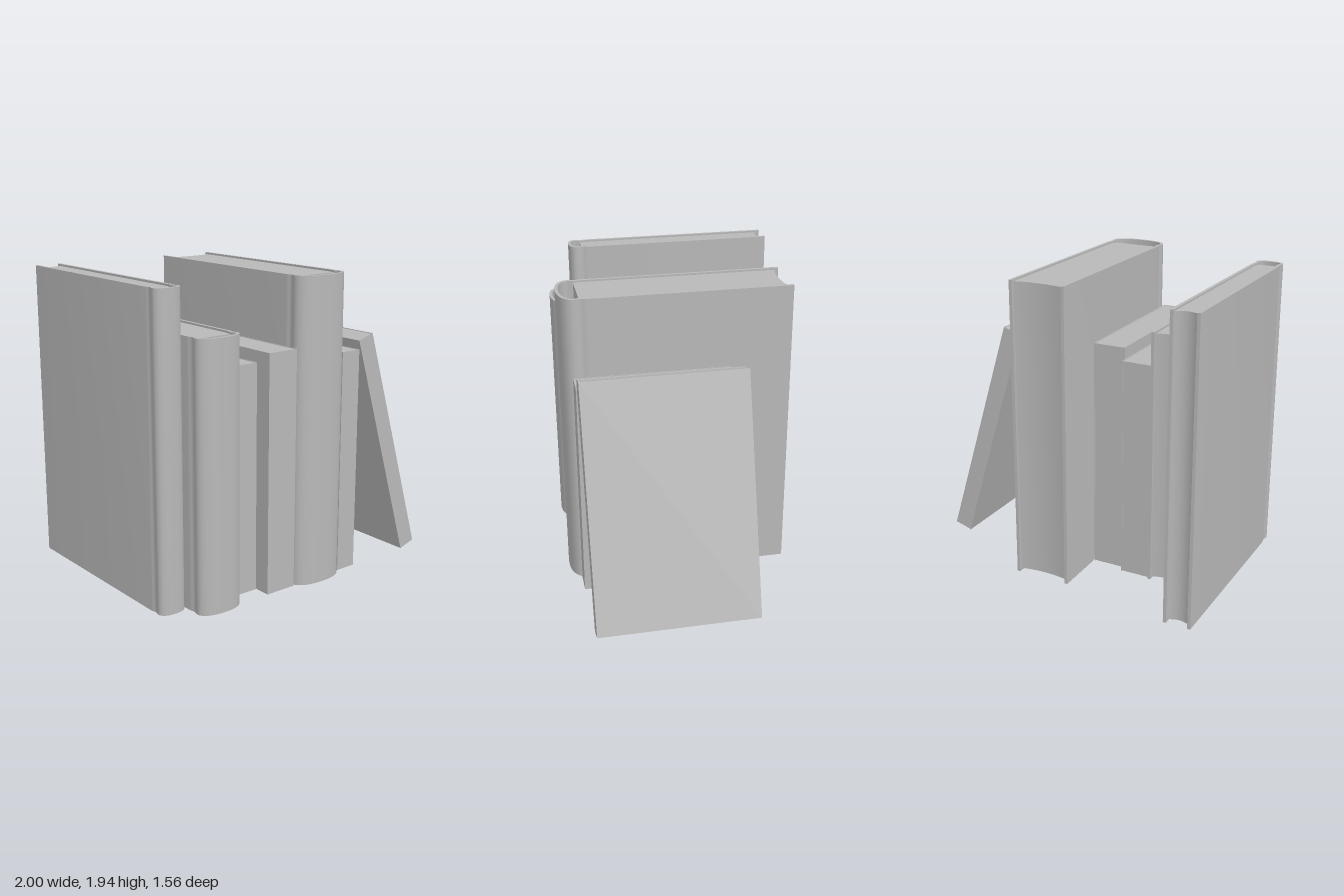
import * as THREE from 'three';
import { toCreasedNormals } from 'three/addons/utils/BufferGeometryUtils.js';

const grey = new THREE.MeshStandardMaterial({ color: 0xb8b8b8 });
grey.name = 'plain grey';

// Extrudes an outline of [x, z] points upward from y0 to y1.
function prism(name, outline, y0, y1) {
  const shape = new THREE.Shape(outline.map(([x, z]) => new THREE.Vector2(x, -z)));
  const geo = new THREE.ExtrudeGeometry(shape, { depth: y1 - y0, bevelEnabled: false });
  geo.rotateX(-Math.PI / 2).translate(0, y0, 0);
  const mesh = new THREE.Mesh(toCreasedNormals(geo, 0.6), grey);
  mesh.name = name;
  return mesh;
}

// Gives a centre line a thickness and returns the closed outline.
function thicken(points, t) {
  const left = [], right = [];
  points.forEach((p, i) => {
    const a = points[Math.max(i - 1, 0)], b = points[Math.min(i + 1, points.length - 1)];
    const dx = b[0] - a[0], dz = b[1] - a[1], l = Math.hypot(dx, dz);
    const nx = -dz / l * t / 2, nz = dx / l * t / 2;
    left.push([p[0] + nx, p[1] + nz]);
    right.unshift([p[0] - nx, p[1] - nz]);
  });
  return left.concat(right);
}

// Hardcover: boards with pinched hinges, a hollow round spine and a concave fore edge.
function hardcover({ x0, x1, back, hinge, spine, height, pageBack, dip }) {
  const book = new THREE.Group();
  book.name = 'hardcoverBook';
  const t = 0.02, w = (x1 - x0 - t) / 2, front = spine - t / 2;
  const bulge = front - hinge;

  // half of the cover's centre line, from the back to the middle of the spine
  const half = [[w, back], [w, hinge - 0.045]];
  for (let i = 1; i <= 10; i++) {
    const s = i / 10;
    half.push([w - 0.008 * (1 - Math.cos(s * Math.PI * 2)) / 2, hinge - 0.045 + 0.08 * s]);
  }
  const start = hinge + 0.035;
  for (let i = 1; i <= 14; i++) {
    const a = (i / 14) * Math.PI / 2;
    half.push([w * Math.pow(Math.cos(a), 0.85), start + (bulge - 0.035) * Math.sin(a)]);
  }
  half[half.length - 1][0] = 0;
  const line = half.concat(half.slice(0, -1).reverse().map(([x, z]) => [-x, z]));
  book.add(prism('cover', thicken(line, t), 0, height));

  // page block
  const pw = w - t / 2, pages = [[-pw, hinge], [pw, hinge]];
  for (let i = 0; i <= 12; i++) {
    const u = 1 - i / 6;
    pages.push([pw * u, pageBack + dip * (1 - u * u)]);
  }
  book.add(prism('pages', pages, 0.012, height - 0.012));
  book.position.x = (x0 + x1) / 2;
  return book;
}

// Paperback: thin wrapped cover around a plain page block.
function paperback(width, back, front, height) {
  const book = new THREE.Group();
  book.name = 'paperbackBook';
  const w = width / 2, t = 0.005;
  const cover = [[-w, back], [-w, front], [w, front], [w, back],
    [w - t, back], [w - t, front - t], [t - w, front - t], [t - w, back]];
  book.add(prism('cover', cover, 0, height));
  const p = w - t;
  book.add(prism('pages', [[-p, front - t], [p, front - t], [p, back + 0.003], [-p, back + 0.003]],
    0.003, height - 0.003));
  return book;
}

export function createModel() {
  const model = new THREE.Group();
  model.name = 'rowOfBooks';

  // three hardcovers
  [
    { x0: -1, x1: -0.822, back: -0.785, hinge: 0.505, spine: 0.59, height: 1.925, pageBack: -0.762, dip: 0.022 },
    { x0: -0.818, x1: -0.517, back: -0.362, hinge: 0.645, spine: 0.753, height: 1.648, pageBack: -0.34, dip: 0.022 },
    { x0: -0.097, x1: 0.275, back: -0.663, hinge: 0.65, spine: 0.777, height: 1.937, pageBack: -0.638, dip: 0.02 },
  ].forEach((b) => model.add(hardcover(b)));

  // three upright paperbacks: x0, x1, back, front, height
  [
    [-0.513, -0.322, -0.35, 0.614, 1.437],
    [-0.316, -0.104, -0.307, 0.72, 1.508],
    [0.281, 0.423, -0.274, 0.71, 1.438],
  ].forEach(([x0, x1, back, front, height]) => {
    const book = paperback(x1 - x0, back, front, height);
    book.position.x = (x0 + x1) / 2;
    model.add(book);
  });

  // paperback leaning on the row
  const leaning = paperback(0.12, -0.326, 0.705, 1.56);
  leaning.name = 'leaningBook';
  leaning.position.set(0.938, 0.018, 0);
  leaning.rotation.z = 0.296;
  model.add(leaning);
  return model;
}
